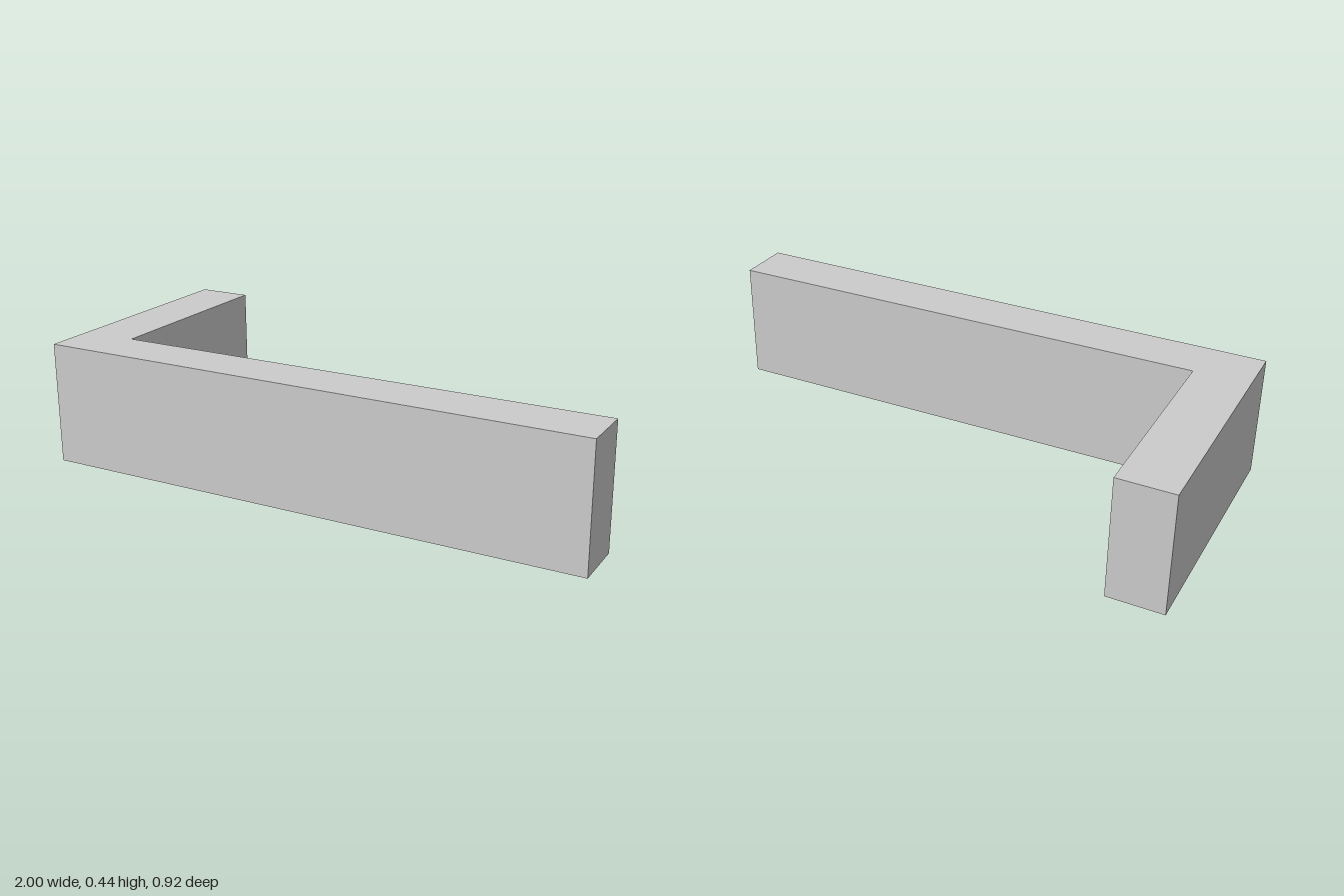
import * as THREE from 'three';

export function createModel() {
  const group = new THREE.Group();
  const height = 0.44;

  // L-shaped footprint as [x, z]; the long arm tapers slightly towards the corner
  const footprint = [
    [-1, 0.46], [1, 0.46], [1, 0.264],
    [-0.8, 0.276], [-0.8, -0.46], [-1, -0.46],
  ];
  const shape = new THREE.Shape(footprint.map(([x, z]) => new THREE.Vector2(x, -z)));

  // Raise the footprint into a solid wall standing on the ground
  const geometry = new THREE.ExtrudeGeometry(shape, { depth: height, bevelEnabled: false });
  geometry.rotateX(-Math.PI / 2);

  const wall = new THREE.Mesh(
    geometry,
    new THREE.MeshStandardMaterial({ color: 0xcccccc, flatShading: true }),
  );
  wall.name = 'cornerWall';
  group.add(wall);
  return group;
}
